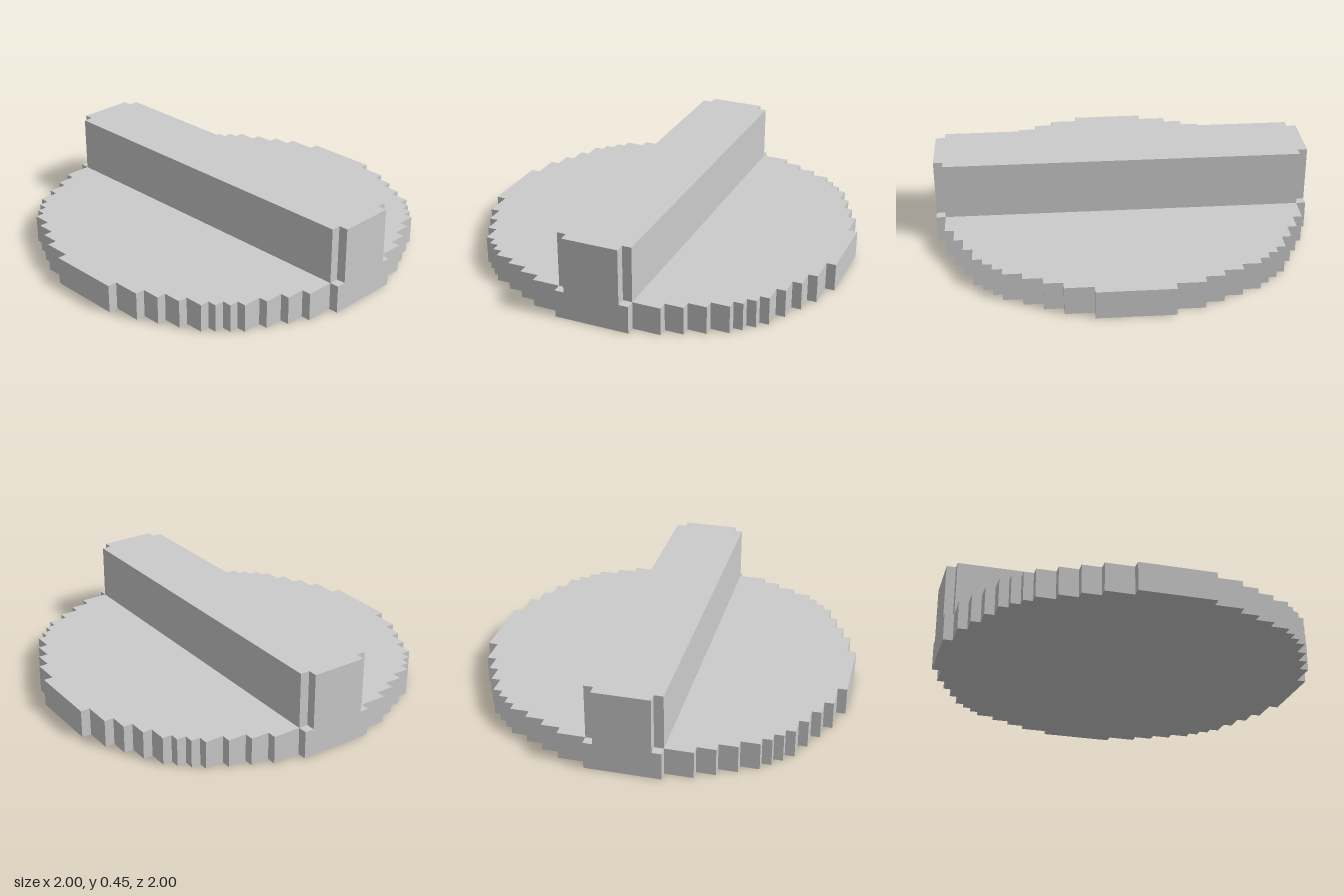
import * as THREE from 'three';

// Stepped outline of one quadrant: outer corners [x, z] of each step
const DISC_STEPS = [
  [0.2, 1], [0.35, 0.95], [0.45, 0.9], [0.55, 0.85], [0.65, 0.8], [0.7, 0.75],
  [0.75, 0.7], [0.8, 0.65], [0.85, 0.55], [0.9, 0.45], [0.95, 0.35], [1, 0.2],
];
const RIDGE_STEPS = [[0.95, 0.2], [1, 0.15]];

// Mirrors the quadrant's staircase into a closed, four-way symmetric shape
function steppedShape(steps) {
  const quadrant = [];
  steps.forEach(([x, z], i) => {
    if (i > 0) quadrant.push([steps[i - 1][0], z]);
    quadrant.push([x, z]);
  });
  const reversed = [...quadrant].reverse();
  const mirror = (points, sx, sz) => points.map(([x, z]) => new THREE.Vector2(x * sx, z * sz));
  return new THREE.Shape([
    ...mirror(quadrant, 1, 1),
    ...mirror(reversed, 1, -1),
    ...mirror(quadrant, -1, -1),
    ...mirror(reversed, -1, 1),
  ]);
}

// Upright slab with the stepped outline, from height y0 to y1
function slab(name, steps, y0, y1, material) {
  const geometry = new THREE.ExtrudeGeometry(steppedShape(steps), { depth: y1 - y0, bevelEnabled: false });
  geometry.rotateX(-Math.PI / 2).translate(0, y0, 0);
  const mesh = new THREE.Mesh(geometry, material);
  mesh.name = name;
  return mesh;
}

export function createModel() {
  const group = new THREE.Group();
  group.name = 'knob';
  const material = new THREE.MeshStandardMaterial({ color: 0xcccccc, flatShading: true });
  // Flat round base and the grip bar across it
  group.add(slab('baseDisc', DISC_STEPS, 0, 0.15, material));
  group.add(slab('gripBar', RIDGE_STEPS, 0.15, 0.45, material));
  return group;
}
